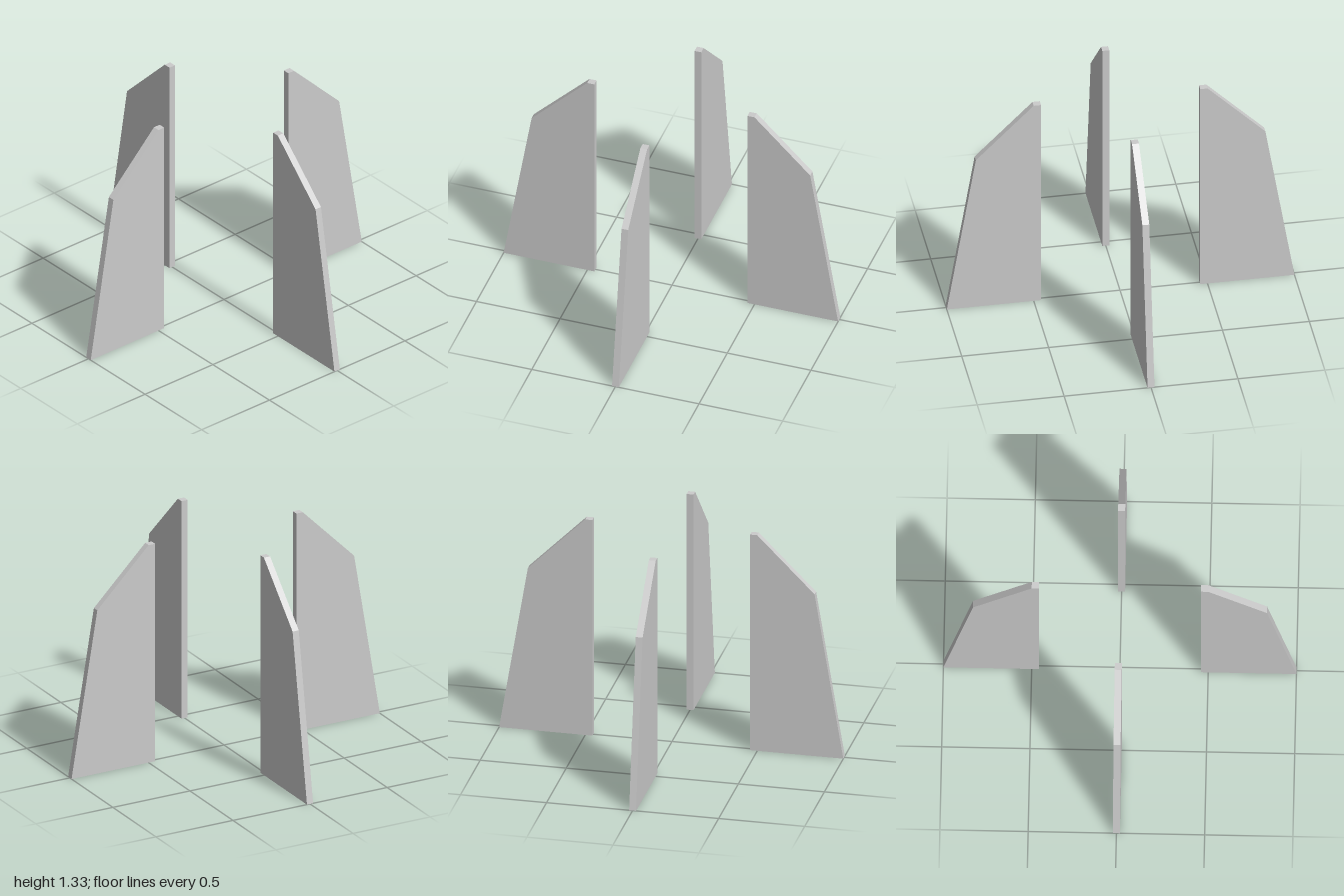
import * as THREE from 'three';

const FIN_COUNT = 4;
const THICKNESS = 0.04;

// Fin outline: upright inner edge, sloped outer edge, chamfered top
const PROFILE = [[0.458, 0], [1, 0], [0.833, 1], [0.5, 1.333], [0.458, 1.333]];

export function createModel() {
  const model = new THREE.Group();
  model.name = 'finSet';

  const material = new THREE.MeshStandardMaterial({ color: 0xcccccc, flatShading: true });
  const shape = new THREE.Shape(PROFILE.map(([x, y]) => new THREE.Vector2(x, y)));
  const geometry = new THREE.ExtrudeGeometry(shape, { depth: THICKNESS, bevelEnabled: false });
  geometry.translate(0, 0, -THICKNESS / 2);

  // Fins spaced evenly around the vertical axis
  const names = ['leftFin', 'backFin', 'rightFin', 'frontFin'];
  for (let i = 0; i < FIN_COUNT; i++) {
    const fin = new THREE.Mesh(geometry, material);
    fin.name = names[i];
    fin.rotation.y = (i * 2 * Math.PI) / FIN_COUNT;
    model.add(fin);
  }
  return model;
}
